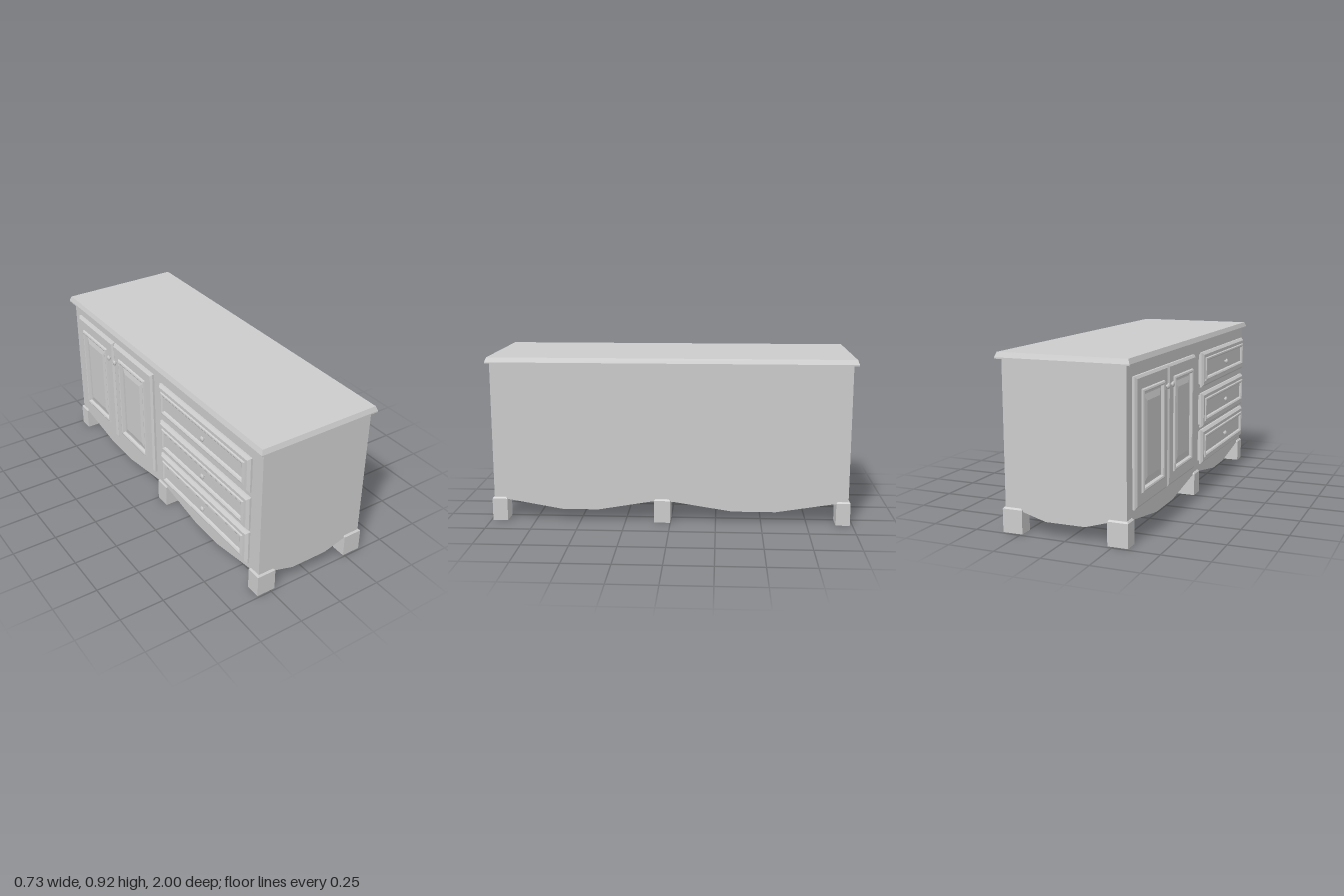
import * as THREE from 'three';

const material = new THREE.MeshStandardMaterial({ color: 0xcccccc, flatShading: true });
const smooth = new THREE.MeshStandardMaterial({ color: 0xcccccc });

function add(parent, name, geometry, x, y, z, mat = material) {
  const mesh = new THREE.Mesh(geometry, mat);
  mesh.name = name;
  mesh.position.set(x, y, z);
  parent.add(mesh);
  return mesh;
}

// Rectangular loft: concentric rectangles given as [inset, height], rising along +z, capped at both ends
function moulded(w, h, profile) {
  const rings = profile.map(([inset, z]) => {
    const a = w / 2 - inset, b = h / 2 - inset;
    return [[-a, -b, z], [a, -b, z], [a, b, z], [-a, b, z]];
  });
  const pos = [];
  const quad = (a, b, c, d) => pos.push(...a, ...b, ...c, ...a, ...c, ...d);
  for (let i = 0; i < rings.length - 1; i++) {
    for (let j = 0; j < 4; j++) {
      const k = (j + 1) % 4;
      quad(rings[i][j], rings[i][k], rings[i + 1][k], rings[i + 1][j]);
    }
  }
  const first = rings[0], last = rings[rings.length - 1];
  quad(last[0], last[1], last[2], last[3]);
  quad(first[3], first[2], first[1], first[0]);
  const geometry = new THREE.BufferGeometry();
  geometry.setAttribute('position', new THREE.Float32BufferAttribute(pos, 3));
  geometry.computeVertexNormals();
  return geometry;
}

function apronGeometry(points) {
  const shape = new THREE.Shape(points.map(([x, y]) => new THREE.Vector2(x, y)));
  return new THREE.ExtrudeGeometry(shape, { depth: 0.08, bevelEnabled: false });
}

// Round knob turned about its stem, pointing along +z
function knobGeometry() {
  const profile = [[0.007, 0], [0.007, 0.006], [0.014, 0.009], [0.016, 0.013], [0.012, 0.018], [0, 0.021]];
  return new THREE.LatheGeometry(profile.map(([r, y]) => new THREE.Vector2(r, y)), 16).rotateX(Math.PI / 2);
}

export function createModel() {
  const model = new THREE.Group();
  model.name = 'sideboard';

  // Carcass
  add(model, 'body', new THREE.BoxGeometry(0.66, 0.767, 1.955), 0.01, 0.5015, 0.0025);

  // Overhanging top with a bevelled edge
  const top = moulded(0.712, 2, [[0, 0], [0, 0.007], [0.01, 0.033]]).rotateX(-Math.PI / 2);
  add(model, 'top', top, 0.01, 0.882, 0);

  // Six feet
  for (const [z0, z1] of [[0.907, 0.99], [0, 0.09], [-0.985, -0.908]]) {
    for (const x of [-0.276, 0.2975]) {
      const foot = moulded(0.109, z1 - z0, [[0, 0], [0, 0.124], [0.007, 0.132]]).rotateX(-Math.PI / 2);
      add(model, 'foot', foot, x, 0, (z0 + z1) / 2);
    }
  }

  // Shaped aprons on the long sides
  const sideAprons = [
    [[0.09, 0.12], [0.4, 0.067], [0.6, 0.067], [0.907, 0.12]],
    [[-0.91, 0.12], [-0.58, 0.067], [-0.34, 0.067], [0, 0.12]],
  ];
  for (const points of sideAprons) {
    for (const x of [0.34, -0.24]) {
      add(model, 'sideApron', apronGeometry(points).rotateY(-Math.PI / 2), x, 0, 0);
    }
  }

  // Shaped aprons on the ends
  const endPoints = [[-0.24, 0.12], [-0.1, 0.078], [0.115, 0.078], [0.26, 0.12]];
  for (const z of [0.9, -0.975]) add(model, 'endApron', apronGeometry(endPoints), 0, 0, z);

  // Doors and drawers: local x runs along the cabinet, local z points out of its face
  const face = new THREE.Group();
  face.name = 'doorsAndDrawers';
  face.position.x = -0.32;
  face.rotation.y = -Math.PI / 2;
  model.add(face);

  // Two doors with a moulding round a raised panel
  const doorProfile = [
    [0, 0], [0, 0.012], [0.013, 0.021], [0.068, 0.021], [0.072, 0.03], [0.08, 0.033],
    [0.088, 0.03], [0.094, 0.016], [0.102, 0.016], [0.135, 0.024],
  ];
  for (const [u, knobU] of [[-0.688, -0.5], [-0.243, -0.43]]) {
    add(face, 'door', moulded(0.438, 0.65, doorProfile), u, 0.495, 0);
    add(face, 'doorKnob', knobGeometry(), knobU, 0.715, 0.02, smooth);
  }

  // Three drawers with overhanging bevelled fronts
  const drawerProfile = [
    [0.015, 0], [0.015, 0.013], [0, 0.013], [0, 0.022], [0.014, 0.035], [0.032, 0.035],
    [0.036, 0.042], [0.044, 0.043], [0.052, 0.038], [0.056, 0.028],
  ];
  for (const y of [0.27, 0.485, 0.72]) {
    add(face, 'drawer', moulded(0.84, 0.2, drawerProfile), 0.492, y, 0);
    add(face, 'drawerKnob', knobGeometry(), 0.515, y - 0.004, 0.027, smooth);
  }

  return model;
}
